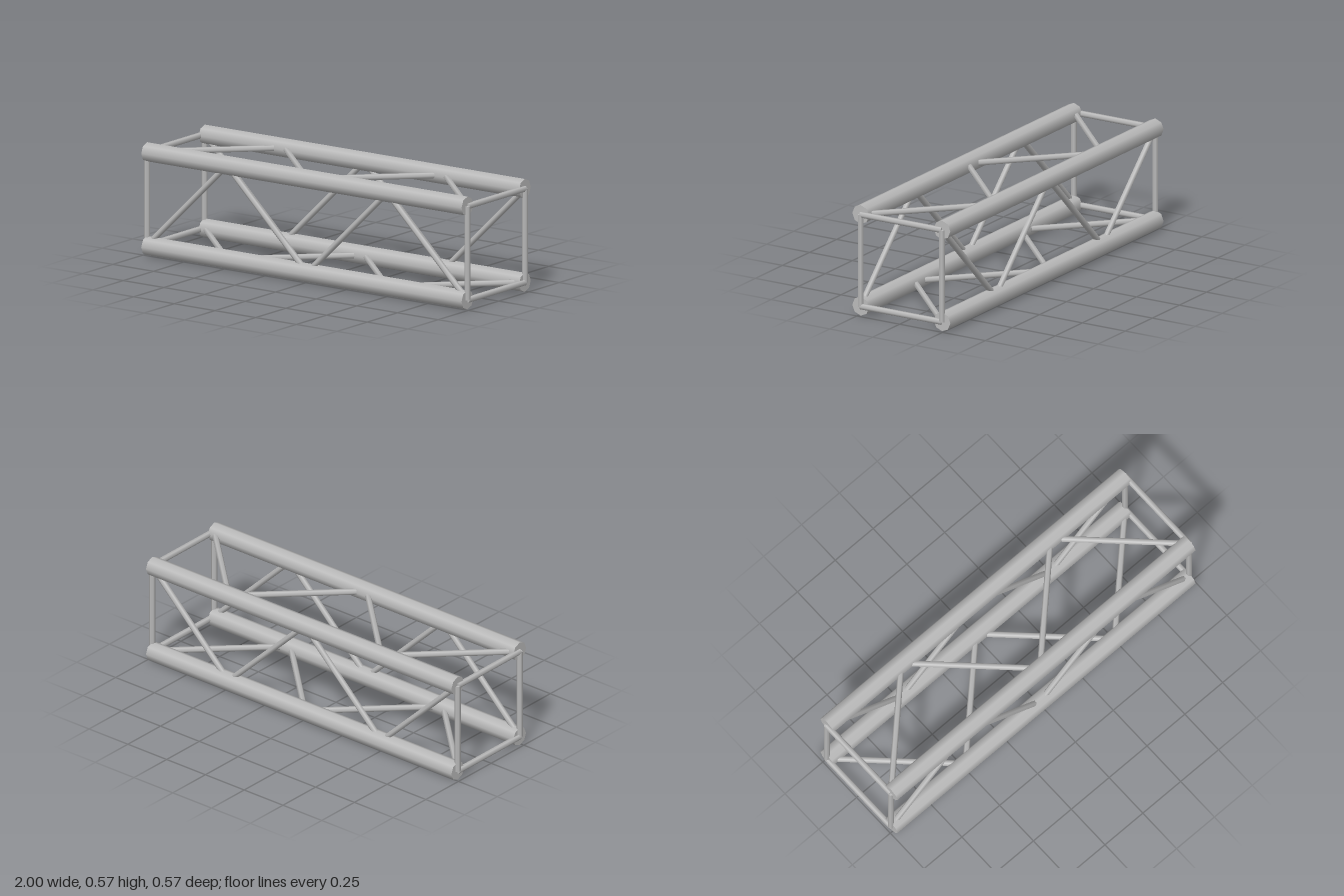
import * as THREE from 'three';

const END = 0.9845;     // x of the end frames
const HALF = 0.2375;    // half spacing of the chords
const MID = 0.286;      // height of the truss axis
const CHORD_R = 0.0485, ROD_R = 0.0155, BAYS = 4;

export function createModel() {
  const group = new THREE.Group();
  const metal = new THREE.MeshStandardMaterial({ color: 0xbababa });
  metal.name = 'aluminium grey';

  // Round bar between two points; facing = direction of its first corner
  function bar(name, a, b, radius, sides, facing) {
    const y = b.clone().sub(a);
    const length = y.length();
    y.normalize();
    const x = y.clone().cross(facing).normalize();
    const z = x.clone().cross(y);
    const mesh = new THREE.Mesh(new THREE.CylinderGeometry(radius, radius, length, sides), metal);
    mesh.quaternion.setFromRotationMatrix(new THREE.Matrix4().makeBasis(x, y, z));
    mesh.position.copy(a).add(b).multiplyScalar(0.5);
    mesh.name = name;
    group.add(mesh);
  }

  const X = new THREE.Vector3(1, 0, 0);
  const Z = new THREE.Vector3(0, 0, 1);
  // Point on a chord: sy, sz = -1 or 1 choose the corner
  const at = (x, sy, sz) => new THREE.Vector3(x, MID + sy * HALF, sz * HALF);

  // Four main chords
  for (const sy of [-1, 1])
    for (const sz of [-1, 1])
      bar('chord', at(-END, sy, sz), at(END, sy, sz), CHORD_R, 8, Z);

  // Square frames at both ends
  for (const x of [-END, END])
    for (const s of [-1, 1]) {
      bar('endPost', at(x, -1, s), at(x, 1, s), ROD_R, 6, Z);
      bar('endCrossbar', at(x, s, -1), at(x, s, 1), ROD_R, 6, X);
    }

  // Zigzag braces, opposite faces running in opposite directions
  const step = 2 * END / BAYS;
  for (let i = 0; i < BAYS; i++) {
    const x0 = -END + i * step, x1 = x0 + step;
    const d = i % 2 ? -1 : 1;
    for (const s of [-1, 1]) {
      bar('sideBrace', at(x0, -s * d, s), at(x1, s * d, s), ROD_R, 6, Z);
      bar('flatBrace', at(x0, s, s * d), at(x1, s, -s * d), ROD_R, 6, X);
    }
  }
  return group;
}
